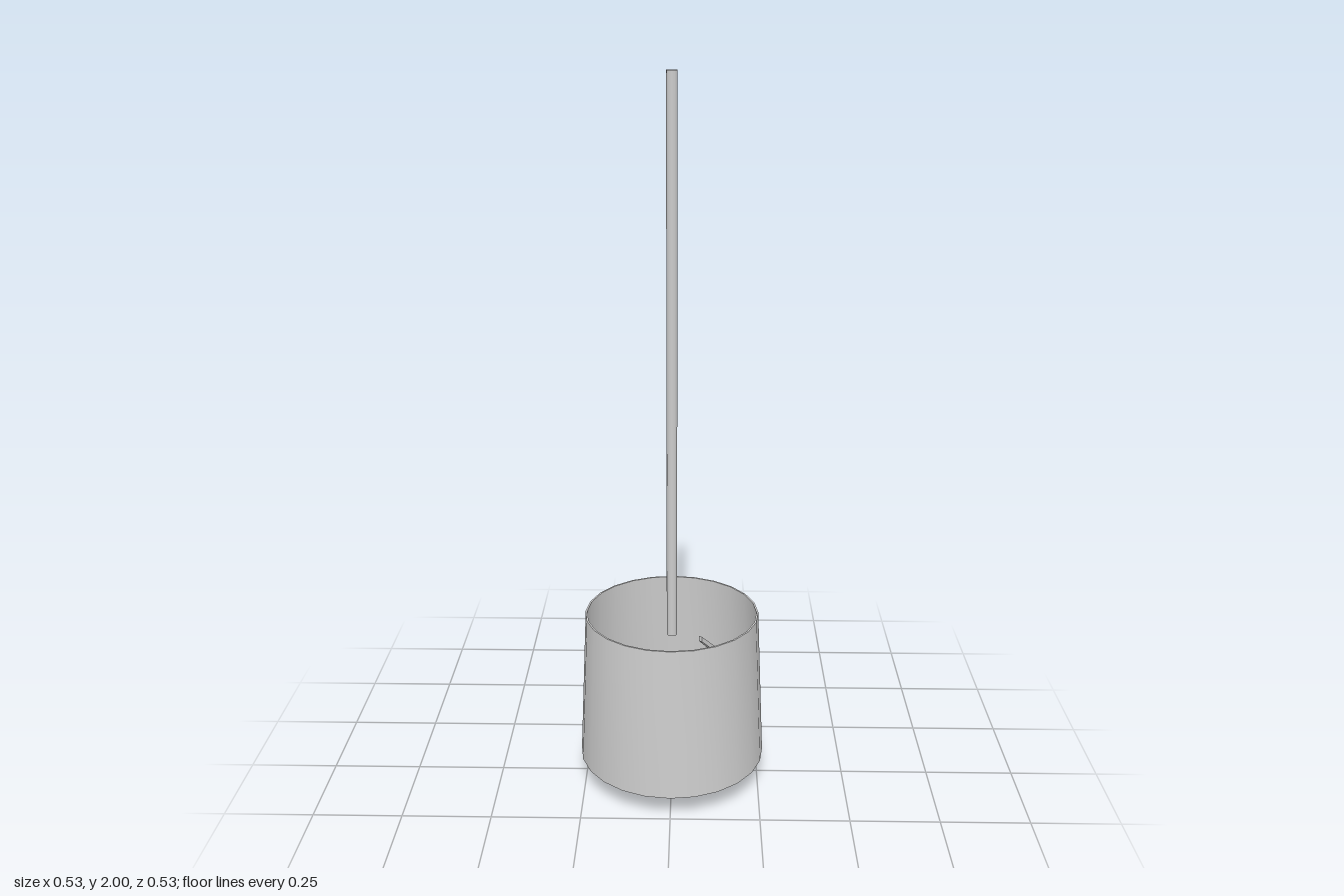
import * as THREE from 'three';
import { toCreasedNormals } from 'three/addons/utils/BufferGeometryUtils.js';

export function createModel() {
  const model = new THREE.Group();
  model.name = 'pendantLamp';

  const paleGrey = new THREE.MeshStandardMaterial({ color: 0xcccccc, side: THREE.DoubleSide });
  paleGrey.name = 'pale grey';
  const midGrey = new THREE.MeshStandardMaterial({ color: 0x868686 });
  midGrey.name = 'mid grey';

  const add = (name, geometry, material, parent = model) => {
    const mesh = new THREE.Mesh(geometry, material);
    mesh.name = name;
    parent.add(mesh);
    return mesh;
  };

  // Tapered thin-walled shade, open at both ends
  const wall = [[0.265, 0.08], [0.245, 0.52], [0.24, 0.52], [0.26, 0.08], [0.265, 0.08]]
    .map(([r, y]) => new THREE.Vector2(r, y));
  add('shade', toCreasedNormals(new THREE.LatheGeometry(wall, 24), 0.6), paleGrey);

  // Hollow hanging rod
  const rodBottom = 0.45, rodTop = 2;
  add('rod', new THREE.CylinderGeometry(0.0145, 0.0145, rodTop - rodBottom, 12, 1, true), paleGrey)
    .position.y = (rodBottom + rodTop) / 2;

  // Globe bulb
  add('globe', new THREE.SphereGeometry(0.182, 20, 14), midGrey).position.y = 0.186;

  // Tapered bracket running along +z, from its narrow inner end down to the shade
  const bracketShape = (length) => {
    const g = new THREE.BoxGeometry(1, 0.016, length, 1, 1, 2);
    const p = g.attributes.position;
    for (let i = 0; i < p.count; i++) {
      const section = Math.round(p.getZ(i) / length * 2) + 1; // 0 inner, 1 bend, 2 outer
      p.setX(i, p.getX(i) * [0.012, 0.029, 0.03][section]);
      p.setZ(i, [0, length - 0.01, length][section]);
      p.setY(i, p.getY(i) + [0.385, 0.295, 0.265][section]);
    }
    const flat = g.toNonIndexed();
    flat.computeVertexNormals();
    return flat;
  };

  // Three brackets: inner and outer ends as [x, z]
  const ends = [
    [[-0.12, 0.026], [-0.235, 0.03]],
    [[0.082, -0.098], [0.147, -0.188]],
    [[0.045, 0.118], [0.091, 0.22]],
  ];
  ends.forEach(([[x0, z0], [x1, z1]], i) => {
    const bracket = add('bracket' + (i + 1), bracketShape(Math.hypot(x1 - x0, z1 - z0)), paleGrey);
    bracket.position.set(x0, 0, z0);
    bracket.rotation.y = Math.atan2(x1 - x0, z1 - z0);
  });

  return model;
}
